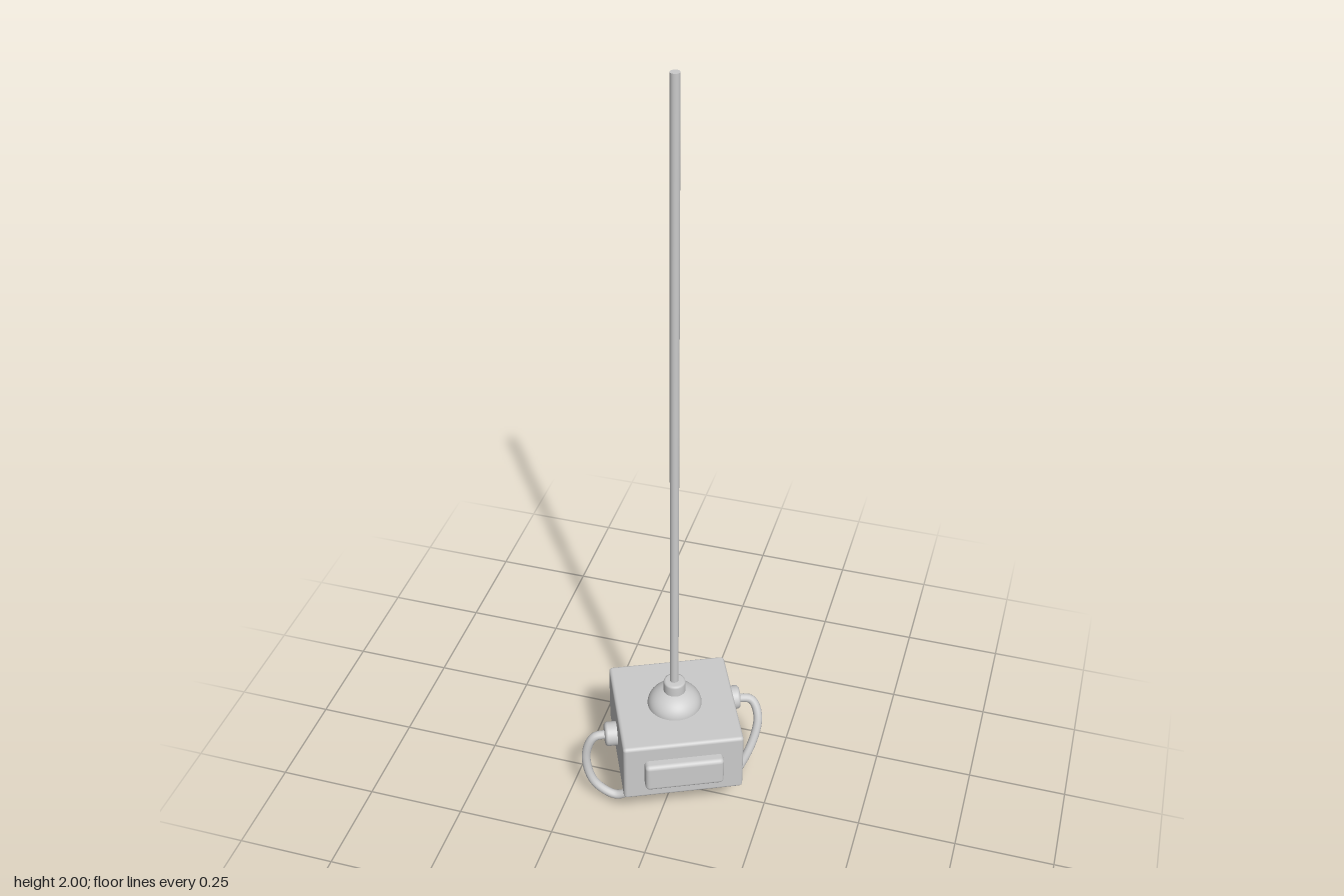
import * as THREE from 'three';
import { RoundedBoxGeometry } from 'three/addons/geometries/RoundedBoxGeometry.js';

const material = new THREE.MeshStandardMaterial({ color: 0xcccccc });

function add(parent, name, geometry, x = 0, y = 0, z = 0) {
  const mesh = new THREE.Mesh(geometry, material);
  mesh.name = name;
  mesh.position.set(x, y, z);
  parent.add(mesh);
  return mesh;
}

// Plate with rounded corners and softened edges, lying in the local xy plane
function plate(width, height, depth) {
  return new RoundedBoxGeometry(width, height, depth, 4, 0.011);
}

function lathe(points, segments = 48) {
  return new THREE.LatheGeometry(points.map(([r, y]) => new THREE.Vector2(r, y)), segments);
}

export function createModel() {
  const model = new THREE.Group();
  model.name = 'hangingControlBox';
  const centerX = 0.007;

  // Turned housing with its panels and cable sockets
  const housing = new THREE.Group();
  housing.name = 'housing';
  housing.position.x = centerX;
  housing.rotation.y = 0.427;
  model.add(housing);
  add(housing, 'boxBody', new RoundedBoxGeometry(0.303, 0.17, 0.309, 4, 0.009), 0, 0.215, 0);
  add(housing, 'frontPanel', plate(0.198, 0.08, 0.06), 0, 0.215, 0.15);
  add(housing, 'backLargePanel', plate(0.122, 0.08, 0.06), 0.053, 0.215, -0.146);
  add(housing, 'backSmallPanel', plate(0.066, 0.08, 0.06), -0.066, 0.215, -0.146);

  // Round socket on each side, axis pointing outward
  const socketShape = lathe([
    [0.031, 0], [0.031, 0.03], [0.0295, 0.034], [0.026, 0.037], [0.02, 0.038], [0, 0.038],
  ]);
  for (const [side, z] of [[-1, 0.004], [1, -0.084]]) {
    const socket = add(housing, side < 0 ? 'rightSocket' : 'leftSocket', socketShape, side * 0.145, 0.215, z);
    socket.rotation.z = -side * Math.PI / 2;
  }

  // Dome, collar and long rod on top
  const domeProfile = [];
  for (let i = 0; i <= 12; i++) {
    const a = (i / 12) * 1.2;
    domeProfile.push([0.069 * Math.cos(a), 0.298 + 0.05 * Math.sin(a)]);
  }
  add(model, 'dome', lathe(domeProfile), centerX - 0.001);
  add(model, 'collar', lathe([
    [0.028, 0.34], [0.028, 0.368], [0.0265, 0.373], [0.022, 0.375], [0, 0.375],
  ]), centerX - 0.001);
  add(model, 'rod', new THREE.CylinderGeometry(0.011, 0.011, 1.64, 24), centerX - 0.002, 1.18, 0);

  // Hanging cables: two from the sockets, two looping under the box
  const cables = {
    rightCable: [
      [-0.145, 0.215, 0.074], [-0.182, 0.209, 0.091], [-0.201, 0.15, 0.103], [-0.178, 0.068, 0.109],
      [-0.12, 0.034, 0.106], [-0.074, 0.07, 0.1], [-0.058, 0.145, 0.09],
    ],
    leftCable: [
      [0.13, 0.215, -0.145], [0.17, 0.209, -0.157], [0.193, 0.17, -0.14], [0.183, 0.09, -0.098],
      [0.14, 0.014, -0.045], [0.112, 0.06, -0.008], [0.105, 0.145, 0.015],
    ],
    underCableLong: [
      [-0.11, 0.145, -0.03], [-0.09, 0.075, -0.012], [-0.04, 0.036, 0.022],
      [0.008, 0.075, 0.05], [0.028, 0.145, 0.06],
    ],
    underCableShort: [
      [-0.035, 0.145, 0.01], [-0.018, 0.1, 0], [0.024, 0.083, -0.012],
      [0.064, 0.1, -0.025], [0.082, 0.145, -0.032],
    ],
  };
  for (const [name, points] of Object.entries(cables)) {
    const path = new THREE.CatmullRomCurve3(points.map((p) => new THREE.Vector3(...p)));
    add(model, name, new THREE.TubeGeometry(path, 64, 0.0115, 14));
  }

  return model;
}
